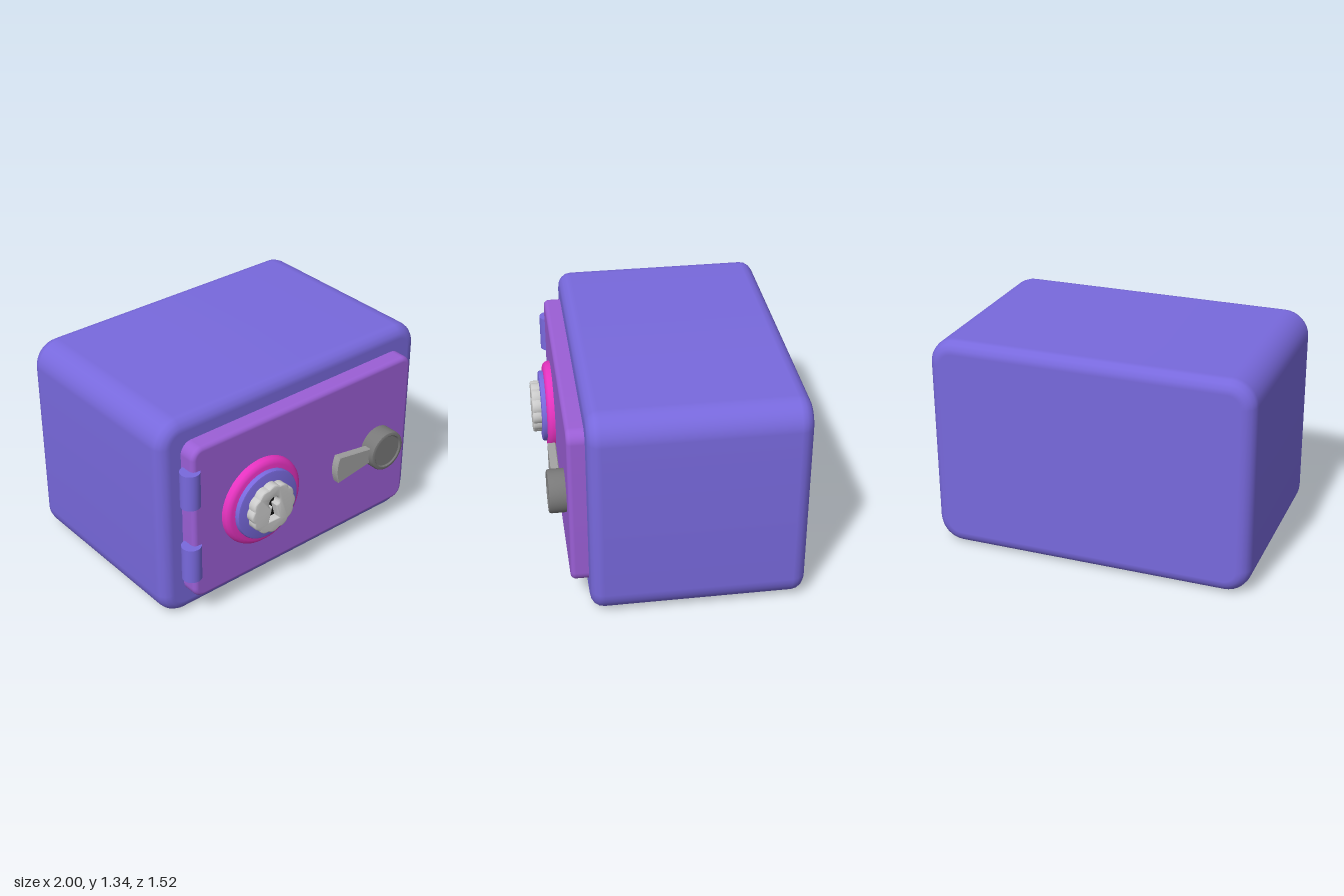
import * as THREE from 'three';
import { toCreasedNormals } from 'three/addons/utils/BufferGeometryUtils.js';

const paint = (color) => new THREE.MeshStandardMaterial({ color });
const blue = paint(0x7869dd);
const violet = paint(0x9b5fd6);
const pink = paint(0xe633c0);
const silver = paint(0xc0c0c0);
const grey = paint(0xa0a0a0);
const darkGrey = paint(0x787878);
const black = paint(0x0a0a0a);

function part(name, geometry, material, x = 0, y = 0, z = 0) {
  const mesh = new THREE.Mesh(geometry, material);
  mesh.name = name;
  mesh.position.set(x, y, z);
  return mesh;
}

// Centred slab with round corners (radius r) and a round bevel on front and back edges
function roundedSlab(w, h, d, r, bevel, segments) {
  const ix = w / 2 - r, iy = h / 2 - r, r0 = r - bevel;
  const shape = new THREE.Shape();
  shape.absarc(ix, iy, r0, 0, Math.PI / 2);
  shape.absarc(-ix, iy, r0, Math.PI / 2, Math.PI);
  shape.absarc(-ix, -iy, r0, Math.PI, Math.PI * 1.5);
  shape.absarc(ix, -iy, r0, Math.PI * 1.5, Math.PI * 2);
  shape.closePath();
  const geo = new THREE.ExtrudeGeometry(shape, {
    depth: d - 2 * bevel, bevelSize: bevel, bevelThickness: bevel,
    bevelSegments: segments, curveSegments: segments,
  });
  geo.translate(0, 0, bevel - d / 2);
  // Smooth normals on the rounding, flat ones on the large faces
  const pos = geo.attributes.position, normal = geo.attributes.normal;
  const v = new THREE.Vector3();
  for (let i = 0; i < pos.count; i++) {
    v.fromBufferAttribute(pos, i);
    const side = Math.sign(v.z);
    const nz = THREE.MathUtils.clamp((Math.abs(v.z) - (d / 2 - bevel)) / bevel, 0, 1);
    v.set(v.x - THREE.MathUtils.clamp(v.x, -ix, ix), v.y - THREE.MathUtils.clamp(v.y, -iy, iy), 0);
    v.normalize().multiplyScalar(Math.sqrt(1 - nz * nz));
    normal.setXYZ(i, v.x, v.y, nz * side);
  }
  return geo;
}

// Turned disc facing +z, from [radius, z] pairs running back to front
function turned(profile) {
  const points = profile.map(([r, z]) => new THREE.Vector2(r, z));
  const geo = new THREE.LatheGeometry(points, 48).rotateX(Math.PI / 2);
  return toCreasedNormals(geo, 0.6);
}

// Scalloped plate with a keyhole cut through it
function lockPlate() {
  const outline = [];
  for (let i = 0; i < 96; i++) {
    const a = (i / 96) * Math.PI * 2;
    const r = 0.142 + 0.011 * Math.abs(Math.cos(a * 6));
    outline.push(new THREE.Vector2(Math.cos(a) * r, Math.sin(a) * r));
  }
  const shape = new THREE.Shape(outline);
  const hole = new THREE.Path();
  hole.moveTo(-0.05, -0.085);
  hole.lineTo(-0.024, 0.012);
  hole.absarc(0, 0.046, 0.048, -Math.PI * 0.75, -Math.PI * 0.25, true);
  hole.lineTo(0.024, 0.012);
  hole.lineTo(0.05, -0.085);
  hole.closePath();
  shape.holes.push(hole);
  const geo = new THREE.ExtrudeGeometry(shape, {
    depth: 0.045, bevelSize: 0.01, bevelThickness: 0.01, bevelSegments: 3, curveSegments: 24,
  });
  return toCreasedNormals(geo, 0.6);
}

// Flared lever pointing to -x, with a slightly bowed end
function leverGeometry() {
  const shape = new THREE.Shape();
  shape.moveTo(0, -0.045);
  shape.lineTo(0, 0.045);
  shape.lineTo(-0.12, 0.047);
  shape.lineTo(-0.372, 0.087);
  shape.quadraticCurveTo(-0.408, 0, -0.372, -0.087);
  shape.lineTo(-0.12, -0.047);
  shape.closePath();
  return new THREE.ExtrudeGeometry(shape, {
    depth: 0.04, bevelSize: 0.005, bevelThickness: 0.005, bevelSegments: 1, curveSegments: 10,
  });
}

export function createModel() {
  const model = new THREE.Group();
  model.name = 'safe';

  // Cabinet and door
  model.add(part('body', roundedSlab(2, 1.34, 1.282, 0.16, 0.08, 4), blue, 0, 0.67, -0.119));
  model.add(part('door', roundedSlab(1.7, 1.045, 0.16, 0.075, 0.03, 4), violet, 0, 0.6725, 0.547));

  // Hinges
  for (const [name, y] of [['upperHinge', 0.935], ['lowerHinge', 0.425]]) {
    const barrel = toCreasedNormals(new THREE.CylinderGeometry(0.06, 0.06, 0.23, 24), 0.6);
    model.add(part(name, barrel, blue, -0.847, y, 0.598));
  }

  // Lock: stepped rings, scalloped plate and dark keyhole
  const lock = new THREE.Group();
  lock.name = 'lock';
  lock.position.set(-0.36, 0.66, 0);
  lock.add(part('outerRing', turned([
    [0.285, 0.61], [0.285, 0.64], [0.28, 0.657], [0.267, 0.67], [0.25, 0.675], [0, 0.675],
  ]), pink));
  lock.add(part('innerRing', turned([
    [0.226, 0.66], [0.226, 0.694], [0.222, 0.702], [0.212, 0.705], [0, 0.705],
  ]), blue));
  lock.add(part('keyholePlate', lockPlate(), silver, 0, 0, 0.705));
  lock.add(part('keyholeBack', new THREE.CircleGeometry(0.11, 32), black, 0, 0, 0.712));
  model.add(lock);

  // Handle: round hub with recessed face, and a flared lever
  const handle = new THREE.Group();
  handle.name = 'handle';
  handle.position.set(0.587, 0.647, 0);
  handle.add(part('hub', turned([
    [0.131, 0.61], [0.131, 0.715], [0.127, 0.726], [0.117, 0.73],
    [0.108, 0.73], [0.1, 0.722], [0, 0.722],
  ]), darkGrey));
  handle.add(part('lever', leverGeometry(), grey, 0, 0, 0.652));
  model.add(handle);

  return model;
}
